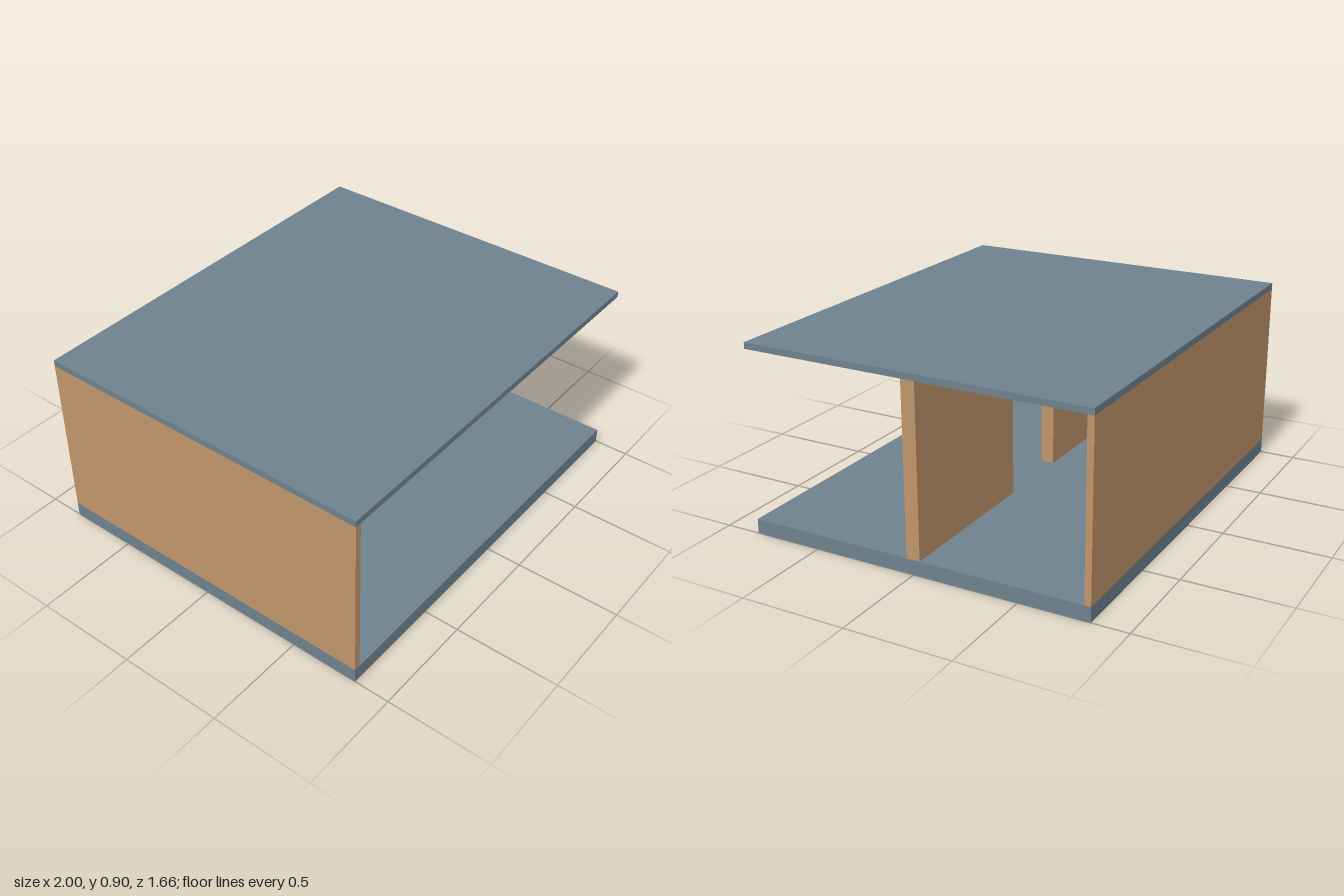
import * as THREE from 'three';

const paint = (name, color) => {
  const m = new THREE.MeshStandardMaterial({ color });
  m.name = name;
  return m;
};

export function createModel() {
  const slate = paint('slate', 0x6e828e);
  const wood = paint('wood', 0xc0956b);
  const black = paint('black', 0x0c0c0c);
  const magenta = paint('magenta', 0xc233a8);

  const model = new THREE.Group();
  model.name = 'openRoom';

  // Box given by its lower and upper corners
  const slab = (name, material, [x0, y0, z0], [x1, y1, z1]) => {
    const mesh = new THREE.Mesh(new THREE.BoxGeometry(x1 - x0, y1 - y0, z1 - z0), material);
    mesh.position.set((x0 + x1) / 2, (y0 + y1) / 2, (z0 + z1) / 2);
    mesh.name = name;
    model.add(mesh);
  };

  const W = 1, D = 0.83, floor = 0.07, ceiling = 0.87;

  // Floor and roof slabs
  slab('floor', slate, [-W, 0, -D], [W, floor, D]);
  slab('roof', slate, [-W, ceiling, -D], [W, 0.9, D]);

  // Outer walls; the front and one side stay open
  slab('sideWall', wood, [-W, floor, -D], [-0.97, ceiling, D]);
  slab('backWall', wood, [-0.97, floor, -D], [W, ceiling, -0.8]);

  // Partition with a doorway in the middle
  slab('partitionRight', wood, [-0.97, floor, -0.033], [-0.2, ceiling, 0.033]);
  slab('partitionLeft', wood, [0.2, floor, -0.033], [W, ceiling, 0.033]);

  // Small cabinet in the back room
  slab('cabinet', black, [-0.63, floor, -0.63], [-0.435, 0.3, -0.43]);

  // Cabinet screen: thin panel with clipped corners on the far edge
  const outline = [[0.43, 0.1], [0.59, 0.1], [0.59, 0.108], [0.6, 0.108],
    [0.6, 0.252], [0.59, 0.252], [0.59, 0.26], [0.43, 0.26]];
  const shape = new THREE.Shape(outline.map(([x, y]) => new THREE.Vector2(x, y)));
  const screen = new THREE.Mesh(
    new THREE.ExtrudeGeometry(shape, { depth: 0.005, bevelEnabled: false }), magenta);
  screen.rotation.y = Math.PI / 2;
  screen.position.x = -0.435;
  screen.name = 'cabinetScreen';
  model.add(screen);

  return model;
}
